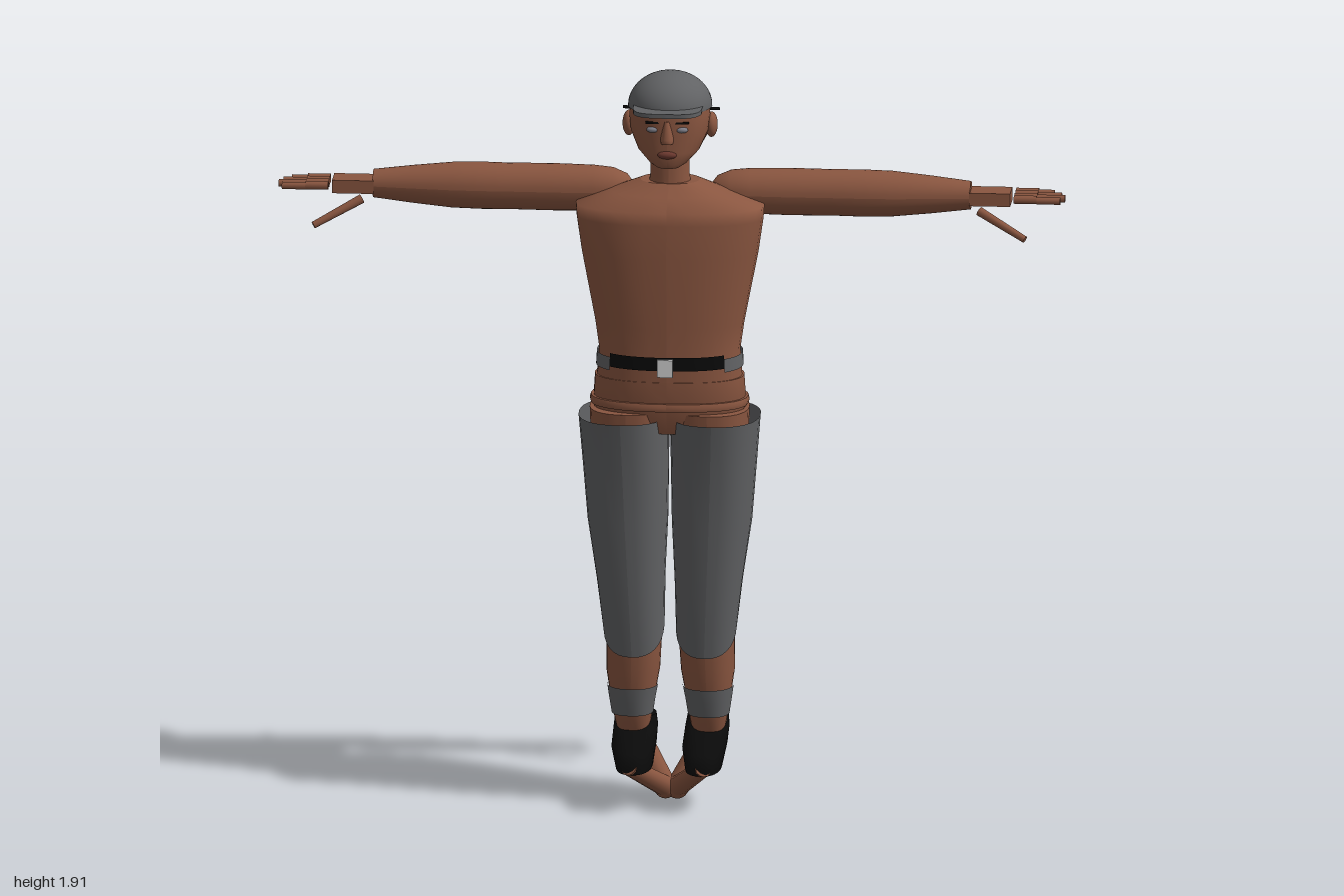
import * as THREE from 'three';

const mat = (name, color, side = THREE.FrontSide) => {
  const m = new THREE.MeshStandardMaterial({ color, side });
  m.name = name;
  return m;
};

// Loft through rounded rings [y, centreX, radiusX, zFront, zBack, tilt]; ascending y.
function loft(rings, { p = 0.85, a0 = 0, a1 = Math.PI * 2, caps = true, seg = 32 } = {}) {
  const pos = [], idx = [];
  const pw = v => Math.sign(v) * Math.abs(v) ** p;
  const addRing = ([y, cx, rx, zf, zb, tilt = 0]) => {
    const start = pos.length / 3;
    for (let i = 0; i <= seg; i++) {
      const a = a0 + (a1 - a0) * i / seg;
      const dz = pw(Math.cos(a)) * (zf - zb) / 2;
      pos.push(cx + rx * pw(Math.sin(a)), y + tilt * dz, (zf + zb) / 2 + dz);
    }
    return start;
  };
  const starts = rings.map(addRing);
  for (let r = 0; r < rings.length - 1; r++) {
    for (let i = 0; i < seg; i++) {
      const a = starts[r] + i, c = starts[r + 1] + i;
      idx.push(a, a + 1, c, a + 1, c + 1, c);
    }
  }
  if (caps) [rings[0], rings[rings.length - 1]].forEach((ring, top) => {
    const s = addRing(ring), centre = pos.length / 3;
    pos.push(ring[1], ring[0], (ring[3] + ring[4]) / 2);
    for (let i = 0; i < seg; i++) {
      if (top) idx.push(centre, s + i, s + i + 1);
      else idx.push(centre, s + i + 1, s + i);
    }
  });
  const g = new THREE.BufferGeometry();
  g.setAttribute('position', new THREE.Float32BufferAttribute(pos, 3));
  g.setIndex(idx);
  g.computeVertexNormals();
  return g;
}

// Tapered rod between two points
function rod(a, b, ra, rb = ra) {
  const A = new THREE.Vector3(...a), B = new THREE.Vector3(...b), d = B.clone().sub(A);
  const g = new THREE.CylinderGeometry(rb, ra, d.length(), 12);
  g.applyQuaternion(new THREE.Quaternion().setFromUnitVectors(new THREE.Vector3(0, 1, 0), d.normalize()));
  const m = A.add(B).multiplyScalar(0.5);
  return g.translate(m.x, m.y, m.z);
}

const ball = (x, y, z, rx, ry, rz) =>
  new THREE.SphereGeometry(1, 24, 16).scale(rx, ry, rz).translate(x, y, z);
const box = (x, y, z, w, h, d) => new THREE.BoxGeometry(w, h, d).translate(x, y, z);

export function createModel() {
  const model = new THREE.Group();
  model.name = 'figure';
  const skin = mat('skin brown', 0x8a5640);
  const cloth = mat('cloth grey', 0x616264, THREE.DoubleSide);
  const black = mat('black', 0x0a0a0a, THREE.DoubleSide);
  const metal = mat('buckle silver', 0xd2d2d2);
  const lips = mat('lip brown', 0x6e3a30);
  const eye = mat('eye grey', 0x80808a);
  const add = (name, geo, m, parent = model) => {
    const mesh = new THREE.Mesh(geo, m);
    mesh.name = name;
    parent.add(mesh);
    return mesh;
  };

  // Torso and hips
  add('torso', loft([
    [1.08, 0, 0.188, 0.1, -0.11], [1.2, 0, 0.18, 0.1, -0.112], [1.27, 0, 0.19, 0.102, -0.118],
    [1.45, 0, 0.225, 0.106, -0.135], [1.54, 0, 0.238, 0.104, -0.135], [1.572, 0, 0.24, 0.1, -0.13],
    [1.605, 0, 0.15, 0.065, -0.11], [1.635, 0, 0.075, 0.035, -0.075],
  ]), skin);
  add('hips', loft([
    [0.99, 0, 0.16, 0.08, -0.09], [1.05, 0, 0.195, 0.1, -0.115], [1.13, 0, 0.19, 0.102, -0.115],
  ]), skin);
  add('hipBand', loft([
    [1.055, 0, 0.2, 0.11, -0.12], [1.065, 0, 0.203, 0.112, -0.122], [1.075, 0, 0.2, 0.108, -0.12],
  ]), skin);

  // Belt: dark front and back, grey sides, buckle standing forward
  const belt = (name, y, a0, a1, m) => add(name, loft([
    [y, 0, 0.187, 0.118, -0.14], [y + 0.035, 0, 0.185, 0.118, -0.14],
  ], { a0, a1, caps: false, seg: 16 }), m);
  belt('beltFront', 1.165, -0.85, 0.85, black);
  belt('beltBack', 1.165, Math.PI - 0.85, Math.PI + 0.85, black);
  belt('beltLeft', 1.155, 0.85, Math.PI - 0.85, cloth);
  belt('beltRight', 1.155, Math.PI + 0.85, Math.PI * 2 - 0.85, cloth);
  add('buckle', box(0, 1.18, 0.148, 0.04, 0.045, 0.012), metal);

  // Neck and head
  const head = new THREE.Group();
  head.name = 'head';
  model.add(head);
  add('neck', loft([
    [1.6, 0, 0.058, 0.035, -0.07], [1.65, 0, 0.05, 0.03, -0.06], [1.74, 0, 0.05, 0.03, -0.06],
  ], { p: 1 }), skin, head);
  add('skull', ball(0, 1.79, -0.03, 0.102, 0.1, 0.102), skin, head);
  add('face', loft([
    [1.683, 0, 0.03, 0.07, 0.01], [1.695, 0, 0.048, 0.082, -0.01], [1.725, 0, 0.078, 0.084, -0.05],
    [1.77, 0, 0.099, 0.082, -0.09], [1.81, 0, 0.103, 0.085, -0.1], [1.845, 0, 0.1, 0.08, -0.1],
  ], { p: 0.95 }), skin, head);
  add('nose', loft([
    [1.753, 0, 0.016, 0.1, 0.05], [1.765, 0, 0.017, 0.103, 0.05], [1.81, 0, 0.008, 0.088, 0.05],
  ]), skin, head);
  add('mouth', ball(0, 1.722, 0.079, 0.025, 0.011, 0.012), lips, head);

  // Cap with flat brim
  add('capCrown', new THREE.SphereGeometry(1, 32, 12, 0, Math.PI * 2, 0, Math.PI / 2)
    .scale(0.107, 0.088, 0.11).translate(0, 1.828, -0.02), cloth, head);
  add('capBrim', loft([
    [1.83, 0, 0.088, 0.13, -0.04], [1.841, 0, 0.088, 0.13, -0.04],
  ], { p: 0.6 }), cloth, head);

  for (const s of [1, -1]) {
    const side = new THREE.Group();
    side.name = s > 0 ? 'leftSide' : 'rightSide';
    model.add(side);
    const put = (name, geo, m) => add(name, geo, m, side);

    // Face details and ear
    put('eye', ball(s * 0.037, 1.787, 0.075, 0.016, 0.008, 0.009), eye);
    put('eyebrow', box(s * 0.037, 1.806, 0.079, 0.036, 0.005, 0.008), black);
    put('ear', ball(s * 0.105, 1.78, -0.018, 0.016, 0.033, 0.024), skin);
    put('templeRod', rod([s * 0.1, 1.812, -0.05], [s * 0.122, 1.81, -0.06], 0.004), black);

    // Arm lofted along its length, then laid sideways
    const arm = [[0.1, 0.018], [0.115, 0.038], [0.15, 0.053], [0.2, 0.058], [0.3, 0.06],
      [0.42, 0.059], [0.48, 0.06], [0.56, 0.058], [0.66, 0.048], [0.76, 0.036]]
      .map(([t, r]) => [t, 0, r, r - 0.085, -r - 0.085]);
    put('arm', loft(arm, { p: 1 }).rotateZ(-s * Math.PI / 2).translate(0, 1.59, 0), skin);

    // Hand: palm, four jointed fingers, thumb
    put('palm', box(s * 0.81, 1.588, -0.083, 0.105, 0.034, 0.072), skin);
    [[-0.127, 0.97], [-0.102, 0.99], [-0.076, 1], [-0.05, 0.99]].forEach(([z, end]) => {
      const mid = 0.93;
      put('fingerBase', rod([s * 0.872, 1.59, z], [s * mid, 1.59, z], 0.011), skin);
      put('fingerTip', rod([s * mid, 1.588, z], [s * end, 1.588, z], 0.0095), skin);
    });
    put('thumb', rod([s * 0.785, 1.563, -0.03], [s * 0.905, 1.502, 0.013], 0.012, 0.009), skin);

    // Leg: buttock, thigh, calf
    put('buttock', ball(s * 0.075, 1.1, -0.09, 0.085, 0.052, 0.054), skin);
    put('thigh', loft([
      [0.7, s * 0.105, 0.085, 0.075, -0.1], [1.045, s * 0.103, 0.1, 0.108, -0.12],
    ]), skin);
    put('calf', loft([
      [0.19, s * 0.095, 0.042, 0, -0.095], [0.25, s * 0.097, 0.052, 0.025, -0.1],
      [0.35, s * 0.095, 0.068, 0.046, -0.118], [0.45, s * 0.092, 0.071, 0.055, -0.11],
      [0.58, s * 0.098, 0.075, 0.065, -0.1],
    ]), skin);

    // Trouser leg with slanted hem, and the grey cuff on the shin
    put('trouserLeg', loft([
      [0.465, s * 0.092, 0.077, 0.057, -0.113, -0.8], [0.6, s * 0.099, 0.087, 0.08, -0.118, -0.3],
      [0.75, s * 0.107, 0.102, 0.096, -0.128], [0.9, s * 0.112, 0.109, 0.112, -0.139],
      [1.025, s * 0.116, 0.115, 0.135, -0.146],
    ], { caps: false }), cloth);
    put('shinCuff', loft([
      [0.235, s * 0.097, 0.053, 0.026, -0.102], [0.275, s * 0.097, 0.059, 0.036, -0.107],
      [0.31, s * 0.096, 0.065, 0.043, -0.114],
    ], { a0: -1.5, a1: 1.5, caps: false }), cloth);

    // Shoe, and the bare foot folded beneath it
    put('shoe', loft([
      [0.105, s * 0.088, 0.046, 0.12, -0.095], [0.16, s * 0.09, 0.056, 0.126, -0.117],
      [0.192, s * 0.091, 0.056, 0.0, -0.13], [0.22, s * 0.092, 0.052, -0.025, -0.132],
    ]), black);
    put('footFront', rod([s * 0.095, 0.125, 0.112], [s * 0.018, 0.036, -0.05], 0.022, 0.027), skin);
    put('footBack', rod([s * 0.1, 0.165, -0.115], [s * 0.018, 0.038, -0.062], 0.034, 0.028), skin);
    put('footBall', ball(s * 0.015, 0.032, -0.058, 0.03, 0.031, 0.03), skin);
  }
  return model;
}
